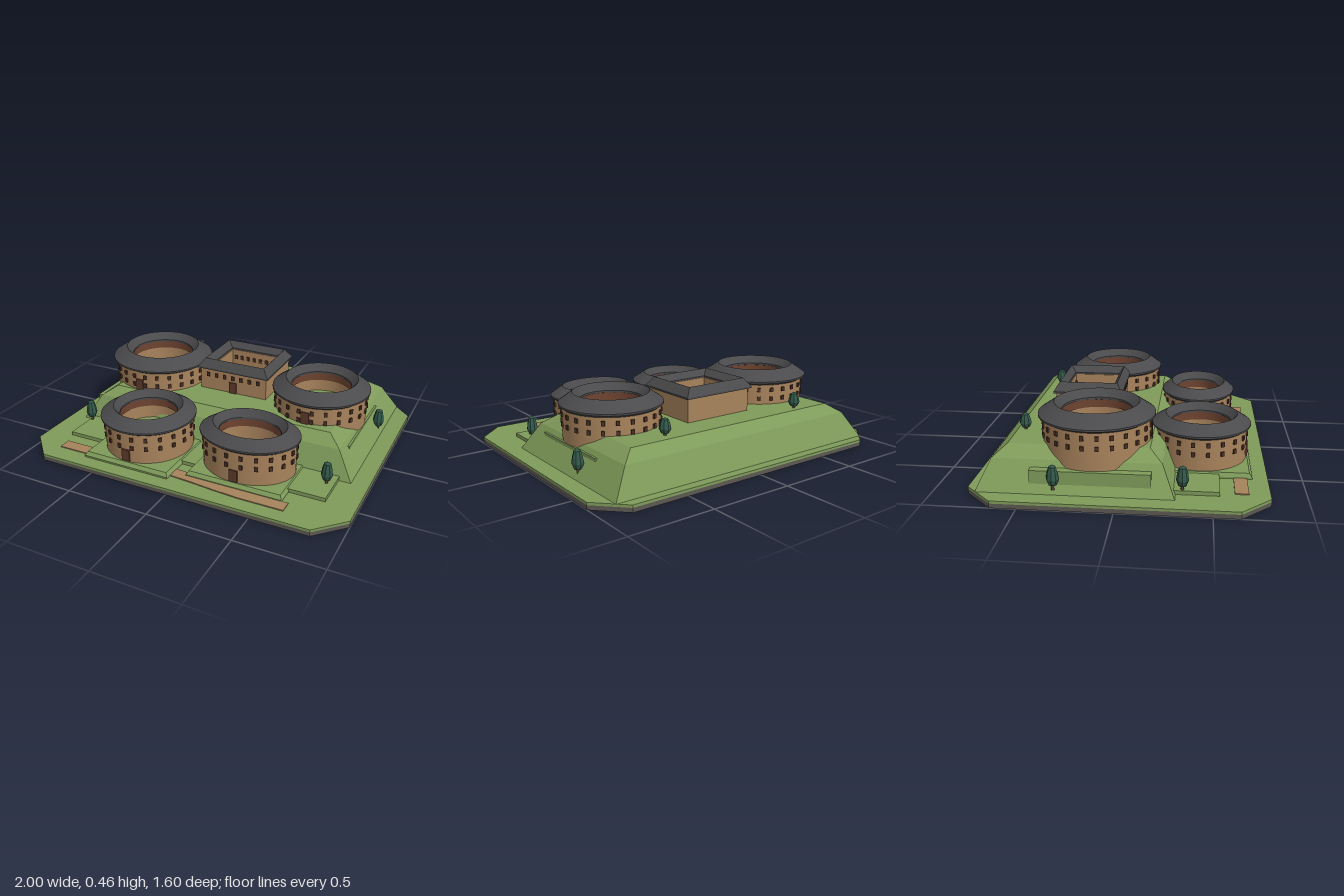
import * as THREE from 'three';
import { toCreasedNormals } from 'three/addons/utils/BufferGeometryUtils.js';

const mat = (name, color) => Object.assign(new THREE.MeshStandardMaterial({ color }), { name });

// Corner ring of a rectangle at height y
const rect = (x0, x1, z0, z1, y) => [[x1, y, z1], [x1, y, z0], [x0, y, z0], [x0, y, z1]];

// Flat-faced skin through successive corner rings, with optional caps
function loft(rings, capTop = true, capBottom = false) {
  const p = [];
  const n = rings[0].length;
  for (let j = 0; j < rings.length - 1; j++) {
    for (let i = 0; i < n; i++) {
      const k = (i + 1) % n;
      const a = rings[j][i], b = rings[j][k], c = rings[j + 1][k], d = rings[j + 1][i];
      p.push(...a, ...b, ...c, ...a, ...c, ...d);
    }
  }
  const top = rings[rings.length - 1], bottom = rings[0];
  for (let i = 1; i < n - 1; i++) {
    if (capTop) p.push(...top[0], ...top[i], ...top[i + 1]);
    if (capBottom) p.push(...bottom[0], ...bottom[i + 1], ...bottom[i]);
  }
  const g = new THREE.BufferGeometry();
  g.setAttribute('position', new THREE.Float32BufferAttribute(p, 3));
  g.computeVertexNormals();
  return g;
}

export function createModel() {
  const M = {
    grass: mat('grass', 0x7f9b5a),
    stone: mat('base stone', 0x5c5852),
    earth: mat('earth wall', 0xa8835c),
    roof: mat('roof tile', 0x4b4b4d),
    wood: mat('gallery wood', 0x6e4330),
    door: mat('door wood', 0x5e3a2a),
    window: mat('window', 0x4a3024),
    path: mat('path', 0xa5835c),
    leaf: mat('foliage', 0x335a4b),
    trunk: mat('trunk', 0x5a4230),
  };
  const model = new THREE.Group();
  const add = (parent, name, geometry, material, x = 0, y = 0, z = 0) => {
    const m = new THREE.Mesh(geometry, material);
    m.name = name;
    m.position.set(x, y, z);
    parent.add(m);
    return m;
  };
  const lathe = (pts, aspect = 1, segments = 48) => {
    const g = new THREE.LatheGeometry(pts.map(([r, y]) => new THREE.Vector2(r, y)), segments);
    return toCreasedNormals(g.scale(1, 1, aspect), 0.5);
  };

  // Base slab with clipped corners
  const octagon = (y) => [[1, 0.64], [1, -0.64], [0.84, -0.8], [-0.84, -0.8],
    [-1, -0.64], [-1, 0.64], [-0.84, 0.8], [0.84, 0.8]].map(([x, z]) => [x, y, z]);
  add(model, 'baseSlab', loft([octagon(0), octagon(0.025)], false, true), M.stone);
  add(model, 'lawn', loft([octagon(0.025), octagon(0.04)]), M.grass);

  // Hill with a soft shoulder, terraces and side ledges
  add(model, 'hill', loft([
    rect(-0.9, 0.9, -0.745, 0.305, 0.04),
    rect(-0.8, 0.8, -0.675, 0.235, 0.195),
    rect(-0.72, 0.72, -0.605, 0.165, 0.25),
  ]), M.grass);
  add(model, 'frontTerrace', loft([rect(-0.83, 0.83, 0.2, 0.535, 0.04), rect(-0.83, 0.83, 0.2, 0.535, 0.062)]), M.grass);
  [[-0.6, -0.04, 0.715], [0.04, 0.62, 0.64]].forEach(([x0, x1, z1]) => {
    add(model, 'plinth', loft([
      rect(x0, x1, 0.2, z1, 0.04),
      rect(x0, x1, 0.2, z1, 0.05),
      rect(x0 + 0.012, x1 - 0.012, 0.2, z1 - 0.016, 0.071),
    ]), M.grass);
  });
  add(model, 'rightLedge', loft([rect(-0.87, -0.7, -0.46, 0.18, 0.05), rect(-0.87, -0.7, -0.46, 0.18, 0.16)]), M.grass);
  add(model, 'leftLedge', loft([rect(0.7, 0.83, -0.44, 0.13, 0.1), rect(0.7, 0.83, -0.44, 0.13, 0.168)]), M.grass);

  // Footpath: two strips interrupted by the plinth
  [[[-0.8, 0.65], [-0.595, 0.65]],
    [[-0.04, 0.64], [0.1, 0.65], [0.25, 0.665], [0.4, 0.675], [0.66, 0.675]]].forEach((line) => {
    const s = new THREE.Shape([
      ...line.map(([x, z]) => new THREE.Vector2(x, -z - 0.037)),
      ...line.slice().reverse().map(([x, z]) => new THREE.Vector2(x, -z + 0.037)),
    ]);
    add(model, 'path', new THREE.ExtrudeGeometry(s, { depth: 0.006, bevelEnabled: false }).rotateX(-Math.PI / 2), M.path, 0, 0.04, 0);
  });

  // Round courtyard houses
  const windowGeo = new THREE.BoxGeometry(0.02, 0.026, 0.016);
  const doorGeo = new THREE.BoxGeometry(0.05, 0.072, 0.016);
  function roundHouse({ name, x, z, eave, wall, ridge, hole, foot, floor, low, top, aspect = 1, count }) {
    const g = new THREE.Group();
    g.name = name;
    g.position.set(x, 0, z);
    model.add(g);
    const inner = hole + 0.012, lip = top - 0.045;
    add(g, 'ringWall', lathe([[wall, foot], [wall, low + 0.02], [inner, low + 0.02], [inner, foot]], aspect), M.earth);
    add(g, 'gallery', lathe([[inner, lip - 0.06], [hole + 0.006, lip - 0.06], [hole + 0.006, lip]].reverse(), aspect), M.wood);
    add(g, 'ringRoof', lathe([
      [wall - 0.01, low], [eave, low + 0.02], [eave, low + 0.03], [ridge, top],
      [hole, lip], [hole, lip - 0.012], [wall - 0.01, low],
    ], aspect), M.roof);
    add(g, 'courtyard', new THREE.CircleGeometry(inner, 40).rotateX(-Math.PI / 2).scale(1, 1, aspect), M.grass, 0, floor, 0);
    for (const y of [low - 0.025, low - 0.08]) {
      for (let i = 0; i < count; i++) {
        const a = ((i + 0.5) / count) * Math.PI * 2;
        const w = add(g, 'window', windowGeo, M.window, Math.sin(a) * wall, y, Math.cos(a) * wall * aspect);
        w.rotation.y = Math.atan2(Math.sin(a) * aspect, Math.cos(a));
      }
    }
    add(g, 'door', doorGeo, M.door, 0, Math.max(foot + 0.044, floor > 0.2 ? 0.286 : 0), wall * aspect);
  }
  roundHouse({ name: 'backRightHouse', x: -0.555, z: -0.14, eave: 0.323, wall: 0.298, ridge: 0.235, hole: 0.195, foot: 0.16, floor: 0.253, low: 0.365, top: 0.455, count: 24 });
  roundHouse({ name: 'backLeftHouse', x: 0.55, z: -0.152, eave: 0.296, wall: 0.278, ridge: 0.217, hole: 0.18, foot: 0.168, floor: 0.253, low: 0.345, top: 0.432, count: 22 });
  roundHouse({ name: 'frontRightHouse', x: -0.32, z: 0.43, eave: 0.283, wall: 0.262, ridge: 0.205, hole: 0.17, foot: 0.07, floor: 0.14, low: 0.245, top: 0.326, count: 20 });
  roundHouse({ name: 'frontLeftHouse', x: 0.328, z: 0.405, eave: 0.295, wall: 0.274, ridge: 0.217, hole: 0.18, foot: 0.07, floor: 0.14, low: 0.255, top: 0.336, aspect: 0.79, count: 20 });

  // Square courtyard house
  const sq = new THREE.Group();
  sq.name = 'squareHouse';
  sq.position.z = -0.245;
  model.add(sq);
  const ring = (hx, hz, y) => rect(-hx, hx, -hz, hz, y);
  add(sq, 'squareWall', loft([ring(0.225, 0.19, 0.24), ring(0.225, 0.19, 0.4), ring(0.157, 0.138, 0.4), ring(0.157, 0.138, 0.24)], false), M.earth);
  add(sq, 'squareRoof', loft([
    ring(0.22, 0.185, 0.385), ring(0.24, 0.205, 0.388), ring(0.24, 0.205, 0.398), ring(0.2, 0.172, 0.45),
    ring(0.163, 0.142, 0.41), ring(0.163, 0.142, 0.395), ring(0.22, 0.185, 0.385),
  ], false), M.roof);
  for (let i = -3; i <= 3; i++) {
    add(sq, 'frontWindow', windowGeo, M.window, i * 0.057, 0.35, 0.19);
    add(sq, 'courtWindow', windowGeo, M.window, i * 0.044, 0.35, -0.138);
  }
  add(sq, 'door', doorGeo, M.door, 0, 0.286, 0.19);

  // Trees: trunk with a tapering tiered crown
  const crown = new THREE.LatheGeometry([[0, 0.018], [0.022, 0.018], [0.034, 0.05], [0.029, 0.085], [0.02, 0.118], [0, 0.13]]
    .map(([r, y]) => new THREE.Vector2(r, y)), 8);
  const crownGeo = crown.toNonIndexed();
  crownGeo.computeVertexNormals();
  const trunkGeo = new THREE.CylinderGeometry(0.007, 0.009, 0.04, 6);
  [[-0.49, 0.25, -0.56, 0.75], [0.46, 0.25, -0.54, 0.75], [-0.885, 0.075, -0.33, 1], [0.875, 0.075, -0.335, 1],
    [-0.815, 0.068, 0.34, 1], [0.785, 0.068, 0.39, 1]].forEach(([x, y, z, s]) => {
    const t = new THREE.Group();
    t.name = 'tree';
    t.position.set(x, y, z);
    t.scale.set(1, s, 1);
    add(t, 'trunk', trunkGeo, M.trunk, 0, 0.008, 0);
    add(t, 'crown', crownGeo, M.leaf);
    model.add(t);
  });
  return model;
}
